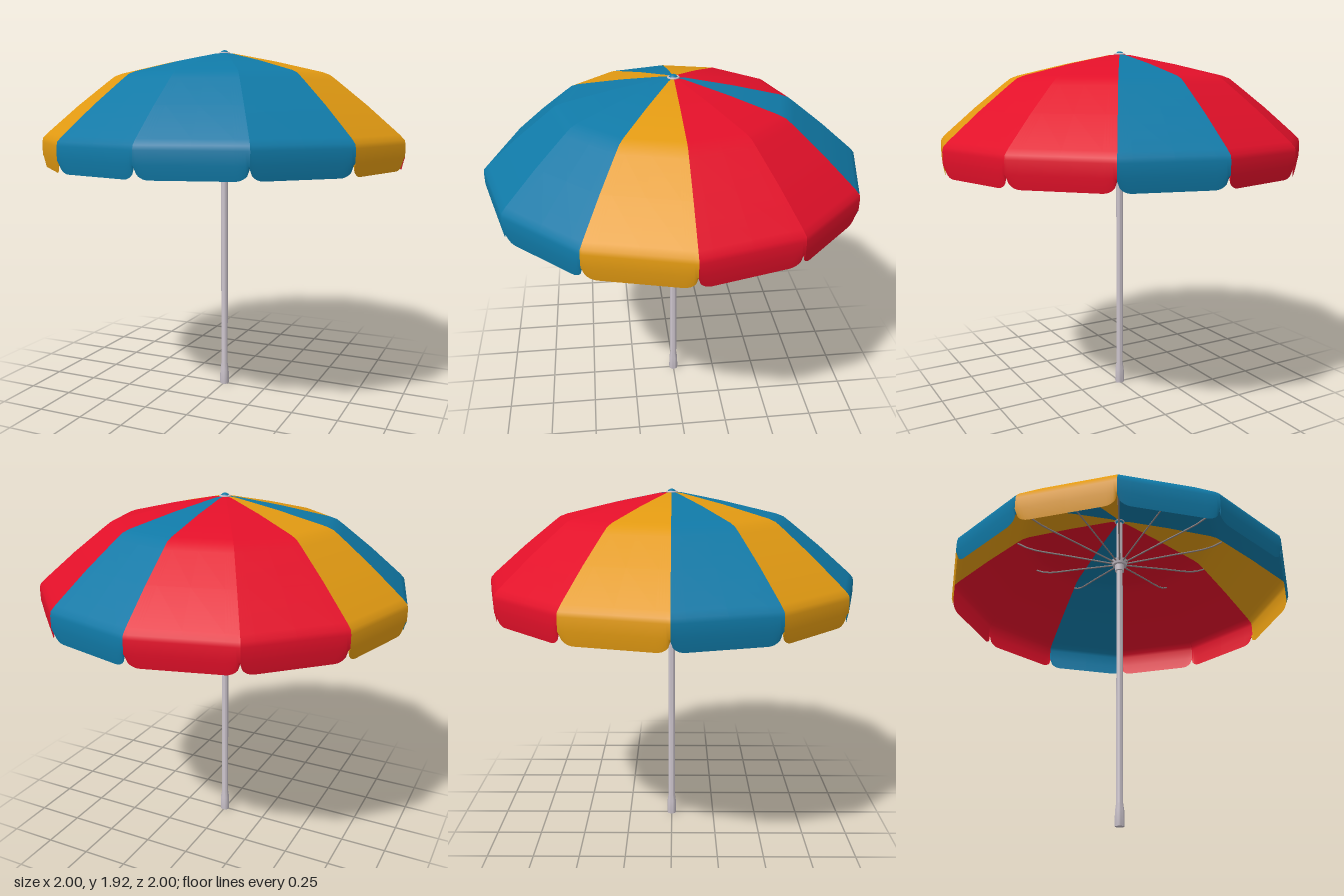
import * as THREE from 'three';
import { toCreasedNormals } from 'three/addons/utils/BufferGeometryUtils.js';

const SIDES = 12;
const STEP = (Math.PI * 2) / SIDES;

const paint = (name, color, side = THREE.FrontSide) => {
  const m = new THREE.MeshStandardMaterial({ color, side });
  m.name = name;
  return m;
};

// Point on the canopy outline: u runs along the straight chord between two ribs
function chordPoint(index, u, r, y) {
  const a = index * STEP, b = a + STEP;
  return [
    r * THREE.MathUtils.lerp(Math.cos(a), Math.cos(b), u),
    y,
    r * THREE.MathUtils.lerp(Math.sin(a), Math.sin(b), u),
  ];
}

// One cloth panel from the tip to the hanging flap with rounded lower corners
function panelGeometry(index) {
  const profile = [
    [0.004, 1.9], [0.06, 1.896], [0.3, 1.848], [0.56, 1.787], [0.6, 1.772], [0.64, 1.742],
    [0.8, 1.615], [0.97, 1.468], [0.995, 1.442], [1, 1.42], [1, 1.355], [0.988, null],
  ];
  const columns = [0, 0.02, 0.04, 0.07, 0.1, 0.13, 0.5, 0.87, 0.9, 0.93, 0.96, 0.98, 1];
  const hem = (u) => {
    const d = Math.min(1, Math.min(u, 1 - u) / 0.13);
    return 1.342 - 0.055 * Math.sqrt(1 - (1 - d) ** 2);
  };
  const positions = [], indices = [], w = columns.length;
  profile.forEach(([r, y]) => {
    for (const u of columns) positions.push(...chordPoint(index, u, r, y ?? hem(u)));
  });
  for (let row = 0; row < profile.length - 1; row++) {
    for (let c = 0; c < w - 1; c++) {
      const p = row * w + c;
      indices.push(p, p + 1, p + w, p + 1, p + w + 1, p + w);
    }
  }
  const g = new THREE.BufferGeometry();
  g.setAttribute('position', new THREE.Float32BufferAttribute(positions, 3));
  g.setIndex(indices);
  return toCreasedNormals(g, 0.9);
}

export function createModel() {
  const model = new THREE.Group();
  model.name = 'parasol';
  const blue = paint('blue cloth', 0x1079a6, THREE.DoubleSide);
  const yellow = paint('yellow cloth', 0xe29a12, THREE.DoubleSide);
  const red = paint('red cloth', 0xe21029, THREE.DoubleSide);
  const metal = paint('pale metal', 0xc8c0c8);
  const wire = paint('spoke metal', 0x8c8284);

  const add = (parent, name, geometry, material, y = 0) => {
    const mesh = new THREE.Mesh(geometry, material);
    mesh.name = name;
    mesh.position.y = y;
    parent.add(mesh);
    return mesh;
  };

  // Canopy, panel colours counted from the left side towards the front
  const canopy = new THREE.Group();
  canopy.name = 'canopy';
  [yellow, blue, blue, blue, yellow, blue, yellow, red, red, blue, red, red].forEach(
    (cloth, i) => add(canopy, `panel${i + 1}`, panelGeometry(i), cloth));
  model.add(canopy);

  // Pole with a thicker foot
  const pole = [
    [0, 0], [0.025, 0], [0.026, 0.01], [0.025, 0.08], [0.019, 0.12], [0.019, 1.885], [0, 1.885],
  ].map(([r, y]) => new THREE.Vector2(r, y));
  add(model, 'pole', toCreasedNormals(new THREE.LatheGeometry(pole, 20), 0.7), metal);

  // Sliding hub and the spokes that brace the canopy
  add(model, 'hub', new THREE.CylinderGeometry(0.05, 0.042, 0.03, 24), metal, 1.59);
  add(model, 'hubSleeve', new THREE.CylinderGeometry(0.028, 0.028, 0.08, 20), metal, 1.575);
  const spokes = new THREE.Group();
  spokes.name = 'spokes';
  const spokePath = new THREE.CatmullRomCurve3([
    new THREE.Vector3(0.04, 1.59, 0),
    new THREE.Vector3(0.3, 1.645, 0),
    new THREE.Vector3(0.55, 1.7, 0),
    new THREE.Vector3(0.63, 1.742, 0),
  ]);
  const spokeGeometry = new THREE.TubeGeometry(spokePath, 10, 0.005, 6);
  for (let i = 0; i < SIDES; i++) {
    add(spokes, `spoke${i + 1}`, spokeGeometry, wire).rotation.y = i * STEP;
  }
  model.add(spokes);

  // Finial: pale ring with a small blue button
  const ring = add(model, 'finialRing', new THREE.TorusGeometry(0.026, 0.006, 8, 24), metal, 1.9);
  ring.rotation.x = Math.PI / 2;
  add(model, 'finialButton', new THREE.SphereGeometry(0.024, 20, 12), blue, 1.895)
    .scale.y = 0.9;

  return model;
}
